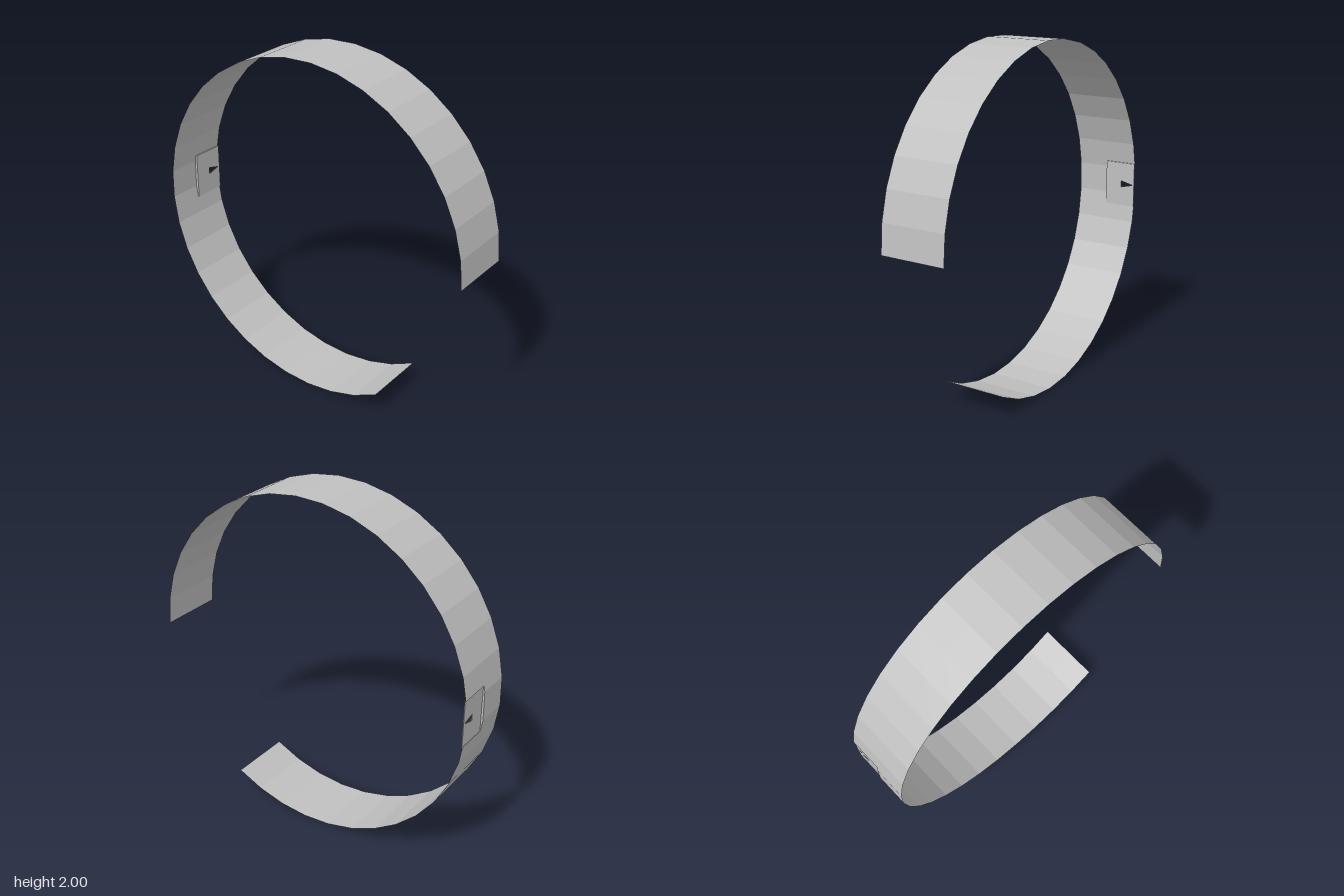
import * as THREE from 'three';

const SEGMENTS = 31, SWEEP = Math.PI * 5 / 3, HALF = 0.195;
const PLATE_X = -0.981, PLATE_Y = 0.137;
const POCKET_START = 17.784, POCKET_END = 19.417; // in segment units along the band

// Point on the faceted ring, t counted in segments
function ringPoint(t) {
  const k = Math.min(Math.floor(t), SEGMENTS - 1), f = t - k;
  const at = (i) => {
    const a = (i / SEGMENTS) * SWEEP;
    return new THREE.Vector2(Math.cos(a), 1 + Math.sin(a));
  };
  return at(k).lerp(at(k + 1), f);
}

// Ring points from t0 to t1, including every facet corner between
function ringPath(t0, t1) {
  const ts = [t0];
  for (let k = Math.floor(t0) + 1; k < t1; k++) ts.push(k);
  ts.push(t1);
  return ts.map(ringPoint);
}

// Flat-faceted strip: a path in x,y spread between two depths
function strip(path, zBack, zFront) {
  const pos = [];
  for (let i = 0; i < path.length - 1; i++) {
    const p = path[i], q = path[i + 1];
    pos.push(p.x, p.y, zBack, q.x, q.y, zBack, q.x, q.y, zFront);
    pos.push(p.x, p.y, zBack, q.x, q.y, zFront, p.x, p.y, zFront);
  }
  const g = new THREE.BufferGeometry();
  g.setAttribute('position', new THREE.Float32BufferAttribute(pos, 3));
  g.computeVertexNormals();
  return g;
}

export function createModel() {
  const metal = new THREE.MeshStandardMaterial({ color: 0xc0c0c0, side: THREE.DoubleSide, flatShading: true });
  metal.name = 'grey metal';
  const group = new THREE.Group();
  group.name = 'openBand';
  const add = (name, geometry) => {
    const mesh = new THREE.Mesh(geometry, metal);
    mesh.name = name;
    group.add(mesh);
  };

  // Band: full front half, back half interrupted by the pocket
  add('bandFrontHalf', strip(ringPath(0, SEGMENTS), 0, HALF));
  add('bandBackUpper', strip(ringPath(0, POCKET_START), -HALF, 0));
  add('bandBackLower', strip(ringPath(POCKET_END, SEGMENTS), -HALF, 0));

  // Pocket walls
  const top = new THREE.Vector2(PLATE_X, 1 + PLATE_Y);
  const bottom = new THREE.Vector2(PLATE_X, 1 - PLATE_Y);
  add('pocketTopWall', strip([ringPoint(POCKET_START), top], -HALF, 0));
  add('pocketBottomWall', strip([bottom, ringPoint(POCKET_END)], -HALF, 0));
  const side = new THREE.Shape([...ringPath(POCKET_START, POCKET_END), bottom, top]);
  add('pocketSideWall', new THREE.ShapeGeometry(side));

  // Recessed plate with a small pointed slot
  const plate = new THREE.Shape([
    new THREE.Vector2(-HALF, 1 - PLATE_Y), new THREE.Vector2(0, 1 - PLATE_Y),
    new THREE.Vector2(0, 1 + PLATE_Y), new THREE.Vector2(-HALF, 1 + PLATE_Y),
  ]);
  plate.holes.push(new THREE.Path([
    new THREE.Vector2(-0.105, 0.98), new THREE.Vector2(-0.185, 1), new THREE.Vector2(-0.105, 1.02),
  ]));
  const plateGeometry = new THREE.ExtrudeGeometry(plate, { depth: 0.004, bevelEnabled: false });
  plateGeometry.rotateY(-Math.PI / 2).translate(PLATE_X, 0, 0);
  add('pocketPlate', plateGeometry);

  return group;
}
